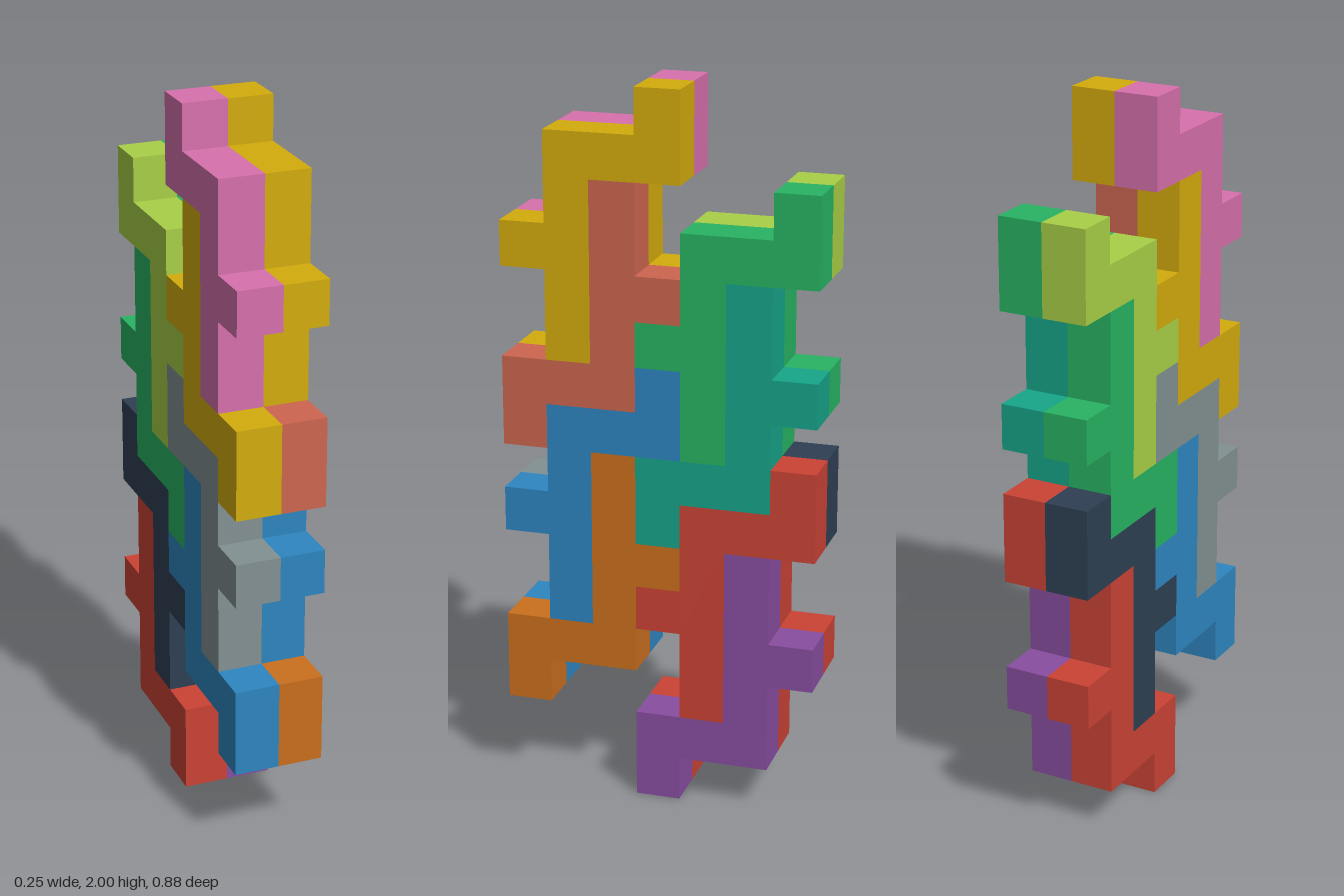
import * as THREE from 'three';

const CELL = 0.125;

// Outline of one nine-cell piece in cell units, inside a 4 x 6 box
const OUTLINE = [
  [1, 0], [2, 0], [2, 4], [4, 4], [4, 6], [3, 6],
  [3, 5], [1, 5], [1, 3], [0, 3], [0, 2], [1, 2],
];

// col, row: lower corner of the box; turned: rotated by half a turn;
// colours of the left (+x) and right (-x) layers
const PIECES = [
  { col: 0, row: 10, turned: false, left: 0xd4ac0d, right: 0xd770ad },
  { col: 0, row: 8, turned: true, left: 0xcd6650, right: 0xd4ac0d },
  { col: 3, row: 8, turned: false, left: 0x28b463, right: 0xa9d046 },
  { col: 3, row: 6, turned: true, left: 0x17a589, right: 0x28b463 },
  { col: 0, row: 4, turned: false, left: 0x2e86c1, right: 0x839192 },
  { col: 0, row: 2, turned: true, left: 0xca6f1e, right: 0x2e86c1 },
  { col: 3, row: 2, turned: false, left: 0xcb4335, right: 0x2e4053 },
  { col: 3, row: 0, turned: true, left: 0x884ea0, right: 0xcb4335 },
];

// Extrudes a piece one cell thick along +x, columns running towards -z
function pieceGeometry({ col, row, turned }) {
  const points = OUTLINE.map(([u, v]) => {
    const [a, b] = turned ? [4 - u, 6 - v] : [u, v];
    return new THREE.Vector2((col + a - 3.5) * CELL, (row + b) * CELL);
  });
  const geometry = new THREE.ExtrudeGeometry(new THREE.Shape(points), {
    depth: CELL,
    bevelEnabled: false,
  });
  return geometry.rotateY(Math.PI / 2);
}

export function createModel() {
  const model = new THREE.Group();
  model.name = 'interlockingTiles';

  // Two identical layers side by side, coloured differently
  for (const side of ['left', 'right']) {
    const layer = new THREE.Group();
    layer.name = `${side}Layer`;
    layer.position.x = side === 'left' ? 0 : -CELL;
    PIECES.forEach((piece, i) => {
      const material = new THREE.MeshStandardMaterial({ color: piece[side] });
      const mesh = new THREE.Mesh(pieceGeometry(piece), material);
      mesh.name = `${side}Tile${i + 1}`;
      layer.add(mesh);
    });
    model.add(layer);
  }
  return model;
}
